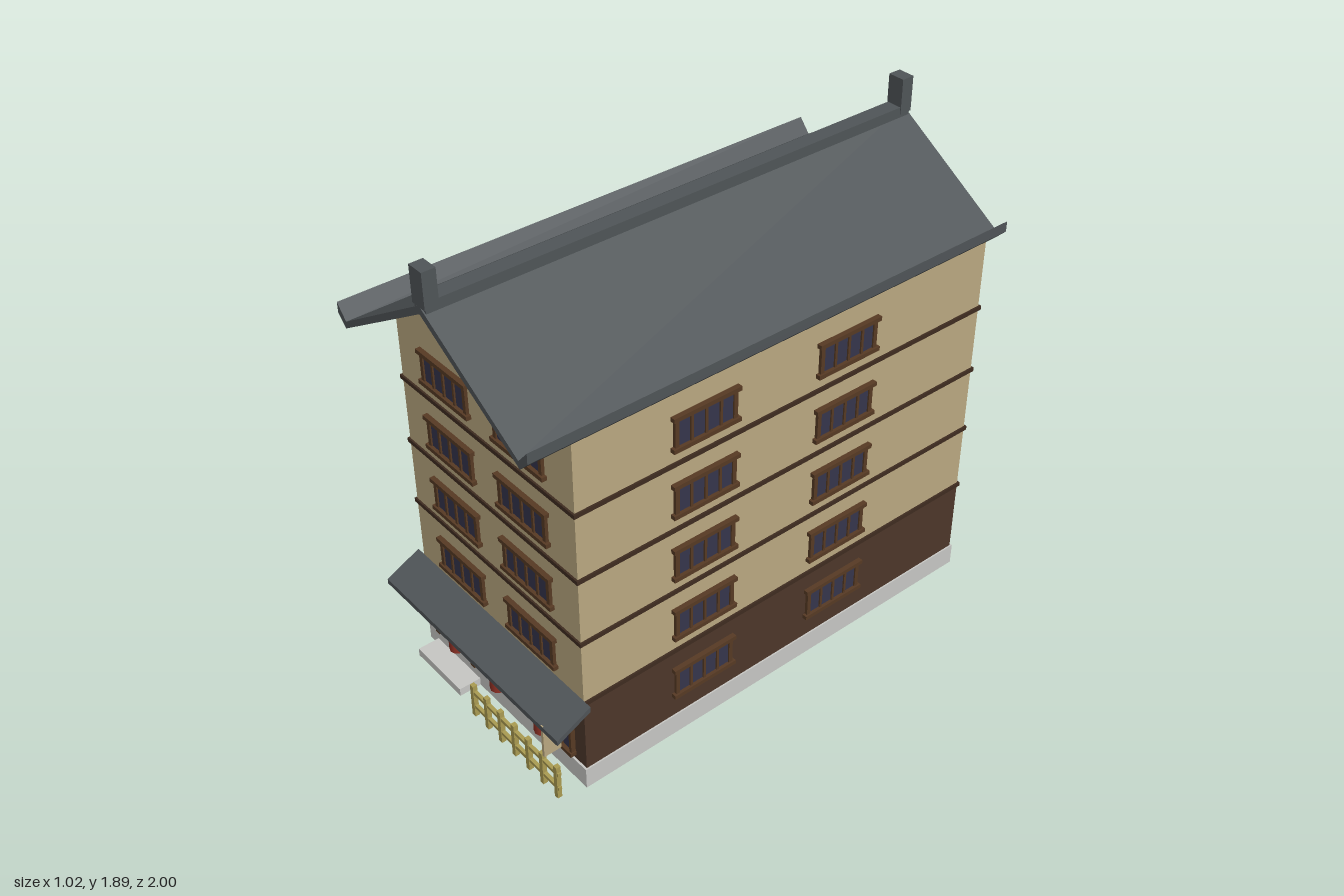
import * as THREE from 'three';

const mat = (name, color) => {
  const m = new THREE.MeshStandardMaterial({ color });
  m.name = name;
  return m;
};

export function createModel() {
  const plaster = mat('plaster', 0xbba981);
  const wood = mat('dark wood', 0x4d372a);
  const trim = mat('trim brown', 0x573a24);
  const beamMat = mat('beam brown', 0x3f2c20);
  const glass = mat('window navy', 0x35354c);
  const tile = mat('roof slate', 0x505558);
  const stone = mat('stone', 0xc8c8c5);
  const red = mat('lantern red', 0x8e3024);
  const bamboo = mat('bamboo', 0xab9c52);

  const model = new THREE.Group();
  model.name = 'inn';

  // Box given by its minimum and maximum corners
  function box(name, m, x0, x1, y0, y1, z0, z1, parent = model) {
    const mesh = new THREE.Mesh(new THREE.BoxGeometry(x1 - x0, y1 - y0, z1 - z0), m);
    mesh.position.set((x0 + x1) / 2, (y0 + y1) / 2, (z0 + z1) / 2);
    mesh.name = name;
    parent.add(mesh);
    return mesh;
  }
  // Outline in x and y, extruded from z0 to z1
  function prism(name, m, pts, z0, z1) {
    const shape = new THREE.Shape(pts.map(p => new THREE.Vector2(...p)));
    const mesh = new THREE.Mesh(new THREE.ExtrudeGeometry(shape, { depth: z1 - z0, bevelEnabled: false }), m);
    mesh.position.z = z0;
    mesh.name = name;
    model.add(mesh);
    return mesh;
  }

  const FRONT = 0.82, BACK = -0.95, SIDE = 0.47;

  // Foundation, step and walls
  box('foundation', stone, -0.476, 0.476, 0, 0.085, -0.957, 0.828);
  box('entranceStep', stone, -0.42, -0.152, 0, 0.032, 0.82, 0.915);
  box('groundFloorWall', wood, -SIDE, SIDE, 0.085, 0.395, BACK, FRONT);
  prism('upperWalls', plaster,
    [[-SIDE, 0.395], [SIDE, 0.395], [SIDE, 1.452], [0, 1.742], [-SIDE, 1.452]], BACK, FRONT);

  // Bands between the storeys
  for (const y of [0.39, 0.655, 0.918, 1.181])
    box('storeyBand', beamMat, -0.477, 0.477, y - 0.008, y + 0.008, BACK - 0.007, FRONT + 0.007);

  // Main roof with upturned eaves
  const top = [[0.465, 1.475], [0.51, 1.527], [0.51, 1.487], [0.47, 1.447]];
  prism('mainRoof', tile, [
    [0, 1.765], ...top, [0, 1.735],
    ...top.map(([x, y]) => [-x, y]).reverse(),
  ].reverse(), -1, 1);
  box('ridge', tile, -0.03, 0.03, 1.742, 1.785, -0.995, 0.995);
  for (const s of [-1, 1])
    box('ridgeFinial', tile, -0.033, 0.033, 1.76, 1.89, s * 0.975 - 0.025, s * 0.975 + 0.025);

  // Framed window facing +z, with upright bars
  function addWindow(x, y, z, turn, w = 0.25, h = 0.13, panes = 4) {
    const g = new THREE.Group();
    g.name = 'window';
    box('glass', glass, -w / 2, w / 2, -h / 2, h / 2, -0.005, 0.006, g);
    for (const s of [-1, 1])
      box('sill', trim, -w / 2 - 0.012, w / 2 + 0.012, s * (h / 2 - 0.006) - 0.008, s * (h / 2 - 0.006) + 0.008, -0.005, 0.019, g);
    for (let i = 0; i <= panes; i++) {
      const bx = -w / 2 + 0.006 + i * (w - 0.012) / panes;
      const t = i === 0 || i === panes ? 0.008 : 0.005;
      box('bar', trim, bx - t, bx + t, -h / 2, h / 2, -0.005, 0.012, g);
    }
    g.position.set(x, y, z);
    g.rotation.y = turn;
    model.add(g);
  }
  for (let floor = 0; floor < 5; floor++) {
    const y = floor === 0 ? 0.243 : 0.513 + (floor - 1) * 0.263;
    for (const s of [-1, 1]) {
      if (floor > 0) addWindow(s * 0.2, y, FRONT, 0);
      addWindow(s * 0.2, y, BACK, Math.PI);
      for (const z of [0.312, -0.3]) addWindow(s * SIDE, y, z, s * Math.PI / 2);
    }
  }
  addWindow(0, 1.538, FRONT, 0, 0.15, 0.1);

  // Entrance door with two leaves
  box('doorPanel', glass, -0.39, -0.18, 0.085, 0.295, FRONT - 0.005, FRONT + 0.008);
  for (const x of [-0.397, -0.172])
    box('doorPost', trim, x - 0.012, x + 0.012, 0.085, 0.3, FRONT - 0.005, FRONT + 0.022);
  box('doorHeader', trim, -0.415, -0.155, 0.295, 0.312, FRONT - 0.005, FRONT + 0.024);
  box('doorRail', beamMat, -0.385, -0.185, 0.18, 0.186, FRONT, FRONT + 0.011);
  box('doorMiddle', beamMat, -0.288, -0.282, 0.18, 0.295, FRONT, FRONT + 0.011);

  // Wide lattice window beside the door
  box('latticeGlass', glass, -0.085, 0.41, 0.11, 0.305, FRONT - 0.005, FRONT + 0.01);
  for (const y of [0.113, 0.3])
    box('latticeRail', trim, -0.09, 0.415, y - 0.008, y + 0.008, FRONT - 0.005, FRONT + 0.024);
  for (let i = 0; i <= 9; i++) {
    const x = -0.08 + i * 0.0539;
    box('latticeBar', trim, x - 0.006, x + 0.006, 0.11, 0.305, FRONT - 0.005, FRONT + 0.018);
  }

  // Sloping porch roof, outlined in z and y, then turned to run along x
  const porch = prism('porchRoof', tile,
    [[0.82, 0.383], [0.957, 0.317], [0.957, 0.338], [0.82, 0.404]].map(([z, y]) => [-z, y]), -0.507, 0.507);
  porch.rotation.y = Math.PI / 2;
  porch.position.set(-0.507, 0, 0);
  for (const x of [-0.42, -0.125, 0.12, 0.422])
    box('porchBracket', beamMat, x - 0.007, x + 0.007, 0.338, 0.352, FRONT, 0.925);

  // Hanging lanterns
  for (const x of [-0.125, 0.12, 0.372]) {
    const lantern = new THREE.Mesh(new THREE.CylinderGeometry(0.028, 0.028, 0.068, 10), red);
    lantern.position.set(x, 0.294, 0.922);
    lantern.name = 'lantern';
    model.add(lantern);
  }

  // Blank hanging sign board, edge-on to the front
  box('signBoard', plaster, 0.416, 0.428, 0.2, 0.34, 0.888, 0.957);

  // Bamboo fence
  for (let i = 0; i < 7; i++) {
    const x = -0.043 + i * 0.081;
    box('fencePost', bamboo, x - 0.009, x + 0.009, 0, 0.145, 0.913, 0.931);
  }
  for (const y of [0.047, 0.113])
    box('fenceRail', bamboo, -0.052, 0.457, y - 0.007, y + 0.007, 0.915, 0.929);

  return model;
}
